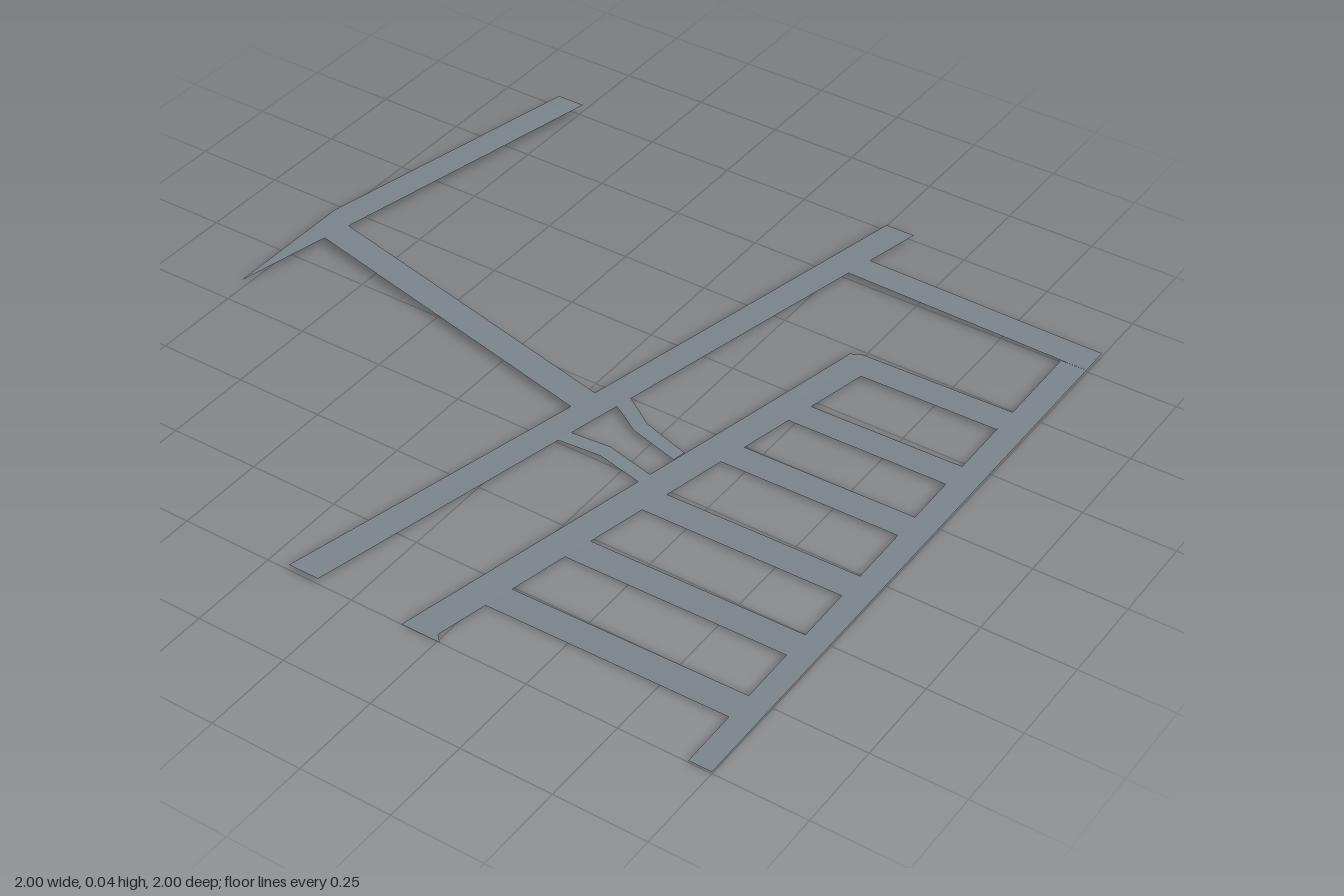
import * as THREE from 'three';

// Heights along the two long streets that carry the rungs
const innerY = z => 0.006 - 0.006 * z;
const eastY = z => 0.008 - 0.003 * z;
// x of the inner street's right kerb, and of the east avenue's left kerb
const innerX = z => 0.541 - 0.221 * (z + 0.4);
const eastX = z => 0.932 + 0.006 * z;

export function createModel() {
  const asphalt = new THREE.MeshStandardMaterial({ color: 0x7a838a, side: THREE.DoubleSide });
  asphalt.name = 'asphalt grey';
  const group = new THREE.Group();
  group.name = 'roadNetwork';

  // Flat ribbon from kerb pairs: [left x, left z, right x, right z, left y, right y]
  function road(name, pairs) {
    const pos = [], idx = [];
    pairs.forEach(([lx, lz, rx, rz, ly, ry = ly], i) => {
      pos.push(lx, ly, lz, rx, ry, rz);
      if (i) {
        const a = 2 * (i - 1);
        idx.push(a, a + 1, a + 2, a + 1, a + 3, a + 2);
      }
    });
    const geo = new THREE.BufferGeometry();
    geo.setAttribute('position', new THREE.Float32BufferAttribute(pos, 3));
    geo.setIndex(idx);
    geo.computeVertexNormals();
    const mesh = new THREE.Mesh(geo, asphalt);
    mesh.name = name;
    group.add(mesh);
  }

  // Long roads, running from front to back
  road('westAvenue', [
    [-1, 0.19, -0.999, 0.19, 0.025],
    [-1, -0.2, -0.94, -0.083, 0.026],
    [-0.995, -0.22, -0.921, -0.163, 0.027],
    [-0.82, -1, -0.737, -1, 0.036],
  ]);
  road('mainRoad', [
    [-0.185, 1, -0.098, 1, 0.017],
    [0.024, 0.09, 0.104, 0.09, 0.018],
    [0.26, -1, 0.345, -1, 0.018],
  ]);
  road('eastAvenue', [
    [0.938, 1, 1, 1, eastY(1)],
    [0.927, -0.743, 1, -0.743, eastY(-0.743)],
  ]);

  // Road joining the west avenue to the main road
  road('crossRoad', [
    [-0.921, -0.163, -0.941, -0.083, 0.027, 0.026],
    [0.034, 0.052, 0.016, 0.132, 0.018],
  ]);

  // Street closing the block at the back, with its corner
  road('northStreet', [
    [0.308, -0.833, 0.288, -0.752, 0.018],
    [0.927, -0.829, 0.927, -0.743, 0.011],
    [1, -0.828, 1, -0.743, 0.011, eastY(-0.743)],
  ]);

  // Inner street with a rounded turn toward the east avenue
  road('innerStreet', [
    [0.147, 1, 0.257, 1, 0],
    [0.151, 0.98, 0.237, 0.98, 0],
    [0.463, -0.433, 0.541, -0.398, innerY(-0.4)],
    [0.468, -0.463, 0.542, -0.398, innerY(-0.4)],
    [0.495, -0.478, 0.543, -0.398, innerY(-0.4)],
    [0.929, -0.486, 0.929, -0.402, eastY(-0.45)],
  ]);

  // Parallel side streets, given by their back and front kerbs
  [[-0.222, -0.142], [0.009, 0.089], [0.267, 0.349], [0.513, 0.594], [0.757, 0.838]].forEach(([b, f], i) => {
    road('sideStreet' + (i + 1), [
      [innerX(b), b, innerX(f), f, innerY(b), innerY(f)],
      [eastX(b), b - 0.006, eastX(f), f - 0.004, eastY(b), eastY(f)],
    ]);
  });

  // Two narrow bent lanes between the main road and the inner street
  road('backLane', [
    [0.112, 0.014, 0.095, 0.058, 0.018],
    [0.16, 0.045, 0.145, 0.086, 0.016],
    [0.208, 0.076, 0.195, 0.117, 0.014],
    [0.342, 0.112, 0.335, 0.15, 0.007],
  ]);
  road('frontLane', [
    [0.073, 0.216, 0.058, 0.26, 0.018],
    [0.182, 0.201, 0.182, 0.244, 0.012],
    [0.32, 0.229, 0.31, 0.268, 0.006],
  ]);

  return group;
}
